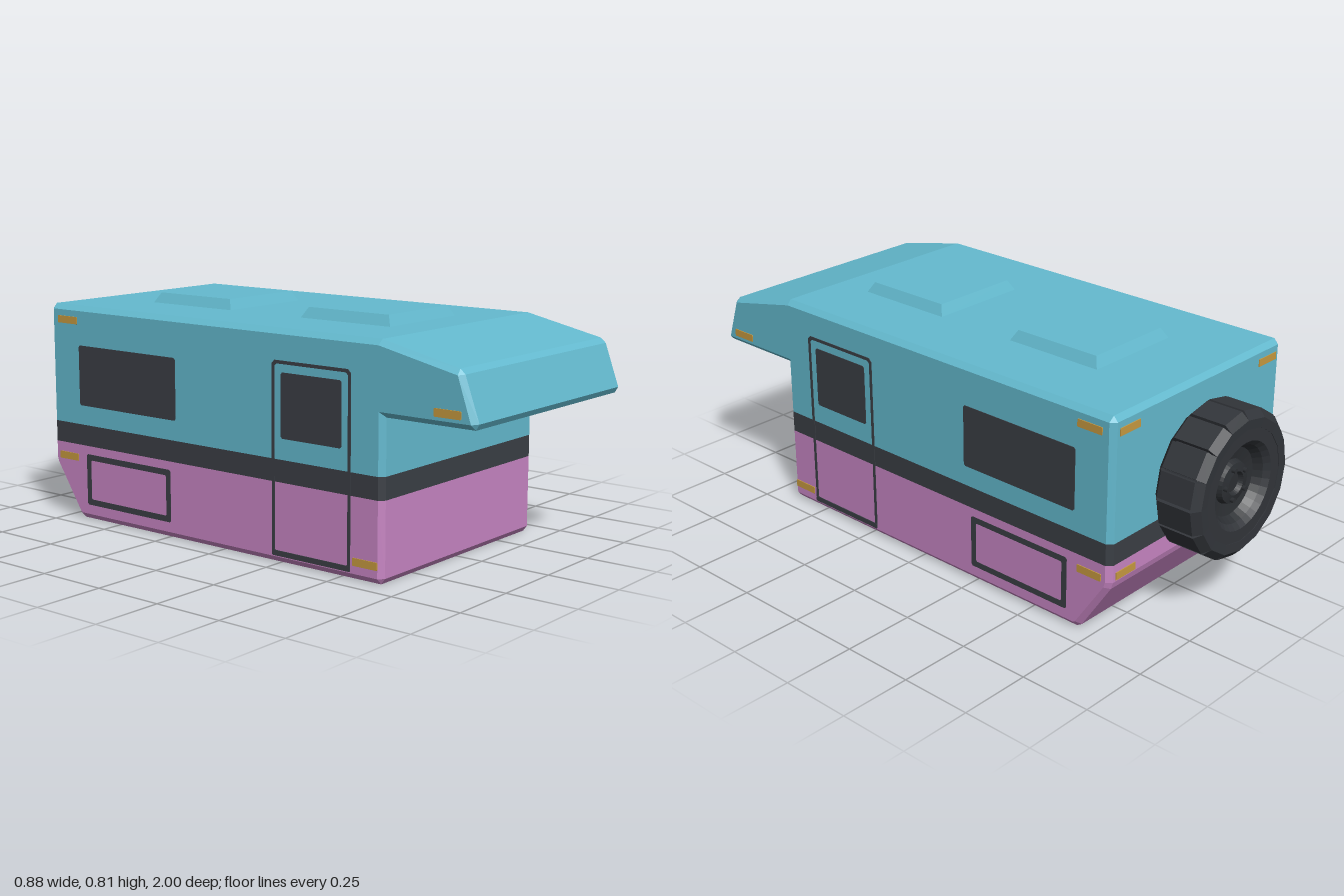
import * as THREE from 'three';

const mat = (name, color, side = THREE.FrontSide) => {
  const m = new THREE.MeshStandardMaterial({ color, side });
  m.name = name;
  return m;
};

// Two matching profiles (z, y): the outer one runs across the width, the inset one closes each side.
// Edges lying on a seam between colour bands are left open.
function bandGeometry(outer, inset, seams) {
  const pos = [];
  const tri = (a, b, c) => {
    const n = b.clone().sub(a).cross(c.clone().sub(a));
    if (n.length() > 1e-9) for (const p of [a, b, c]) pos.push(p.x, p.y, p.z);
  };
  const ring = (pts, x) => pts.map(([z, y]) => new THREE.Vector3(x, y, z));
  const rings = [ring(inset, 0.435), ring(outer, 0.417), ring(outer, -0.417), ring(inset, -0.435)];
  const n = outer.length;
  for (let i = 0; i < n; i++) {
    const j = (i + 1) % n;
    if (outer[i][1] === outer[j][1] && seams.includes(outer[i][1])) continue;
    for (let k = 0; k < 3; k++) {
      const a = rings[k][j], b = rings[k][i], c = rings[k + 1][i], d = rings[k + 1][j];
      tri(a, b, c);
      tri(a, c, d);
    }
  }
  // Flat side walls, wound to face outwards
  const contour = inset.map(([z, y]) => new THREE.Vector2(z, y));
  for (const [a, b, c] of THREE.ShapeUtils.triangulateShape(contour, [])) {
    const A = contour[a], B = contour[b], C = contour[c];
    const ccw = (B.x - A.x) * (C.y - A.y) - (B.y - A.y) * (C.x - A.x) > 0;
    const [p, q, r] = ccw ? [a, c, b] : [a, b, c];
    tri(rings[0][p], rings[0][q], rings[0][r]);
    tri(rings[3][p], rings[3][r], rings[3][q]);
  }
  const g = new THREE.BufferGeometry();
  g.setAttribute('position', new THREE.Float32BufferAttribute(pos, 3));
  g.computeVertexNormals();
  return g;
}

// Rectangle path with small cut corners
function rectPath(path, x0, y0, x1, y1, c) {
  path.moveTo(x0 + c, y0);
  for (const [x, y] of [[x1 - c, y0], [x1, y0 + c], [x1, y1 - c], [x1 - c, y1],
    [x0 + c, y1], [x0, y1 - c], [x0, y0 + c]]) path.lineTo(x, y);
  path.closePath();
  return path;
}

export function createModel() {
  const teal = mat('teal paint', 0x64bacf);
  const pink = mat('pink paint', 0xc886c4);
  const dark = mat('dark trim', 0x3b3f45);
  const amber = mat('amber light', 0xc79a40);
  const rubber = mat('tyre rubber', 0x32353a);
  const steel = mat('wheel steel', 0x2c2f33);
  const model = new THREE.Group();
  const add = (name, geometry, material, parent = model) => {
    const m = new THREE.Mesh(geometry, material);
    m.name = name;
    parent.add(m);
    return m;
  };

  // Shell in three colour bands
  const lo = 0.27, hi = 0.345;
  add('lowerBody', bandGeometry(
    [[0.665, lo], [0.665, 0.02], [0.65, 0], [-0.68, 0], [-0.7, 0.012], [-0.812, 0.185], [-0.82, 0.21], [-0.82, lo]],
    [[0.648, lo], [0.648, 0.02], [0.648, 0.02], [-0.678, 0.02], [-0.685, 0.024], [-0.796, 0.192], [-0.802, 0.21], [-0.802, lo]],
    [lo]), pink);
  add('waistStripe', bandGeometry(
    [[0.665, hi], [0.665, lo], [-0.82, lo], [-0.82, hi]],
    [[0.648, hi], [0.648, lo], [-0.802, lo], [-0.802, hi]],
    [lo, hi]), dark);
  add('upperBody', bandGeometry(
    [[-0.82, hi], [-0.82, 0.752], [-0.804, 0.77], [0.647, 0.77], [0.93, 0.708], [0.948, 0.692],
      [1.0, 0.55], [0.988, 0.53], [0.665, 0.53], [0.665, hi]],
    [[-0.802, hi], [-0.802, 0.752], [-0.802, 0.752], [0.645, 0.752], [0.933, 0.69], [0.933, 0.69],
      [0.982, 0.548], [0.982, 0.548], [0.648, 0.548], [0.648, hi]],
    [hi]), teal);

  // Two tapered roof vents
  for (const z of [0.32, -0.362]) {
    const g = new THREE.BoxGeometry(0.37, 0.037, 0.37).toNonIndexed();
    const p = g.attributes.position;
    for (let i = 0; i < p.count; i++) {
      if (p.getY(i) > 0) p.setXYZ(i, p.getX(i) * 0.89, p.getY(i), p.getZ(i) * 0.89);
    }
    g.computeVertexNormals();
    g.translate(0, 0.787, z);
    add('roofVent', g, teal);
  }

  // Thin plates on both side walls; z0 < z1
  const plate = (name, side, [z0, y0, z1, y1], material, proud, border = 0, cut = 0.006) => {
    const s = rectPath(new THREE.Shape(), z0, y0, z1, y1, cut);
    if (border) s.holes.push(rectPath(new THREE.Path(), z0 + border, y0 + border, z1 - border, y1 - border, cut * 0.7));
    const g = new THREE.ExtrudeGeometry(s, { depth: 0.004 + proud, bevelEnabled: false });
    // shape x -> z, extrusion -> -x
    g.rotateY(-Math.PI / 2);
    g.translate(side > 0 ? 0.435 + proud : -0.431, 0, 0);
    add(name, g, material);
  };
  for (const side of [1, -1]) {
    plate('doorFrame', side, [0.222, 0.026, 0.542, 0.668], dark, 0.002, 0.011, 0.012);
    plate('doorSill', side, [0.222, 0.024, 0.542, 0.042], dark, 0.003, 0, 0.003);
    plate('doorWindow', side, [0.26, 0.415, 0.505, 0.63], dark, 0.002);
    plate('rearWindow', side, [-0.675, 0.415, -0.206, 0.63], dark, 0.002);
    plate('hatchFrame', side, [-0.648, 0.055, -0.235, 0.24], dark, 0.001, 0.021);
    for (const [z, y] of [[0.9, 0.572], [0.6, 0.06], [-0.73, 0.717], [-0.738, 0.222]]) {
      plate('sideMarker', side, [z - 0.048, y - 0.013, z + 0.048, y + 0.013], amber, 0.003, 0, 0.002);
    }
    for (const y of [0.717, 0.228]) {
      const g = new THREE.BoxGeometry(0.095, 0.026, 0.008);
      g.translate(side * 0.358, y, -0.819);
      add('rearMarker', g, amber);
    }
  }

  // Spare wheel, built along +y then turned to face the rear
  const wheel = new THREE.Group();
  wheel.name = 'spareWheel';
  wheel.position.set(0, 0.447, -0.82);
  wheel.rotation.x = -Math.PI / 2;
  model.add(wheel);
  const lathe = (pts, n) => {
    const g = new THREE.LatheGeometry(pts.map(([r, y]) => new THREE.Vector2(r, y)), n).toNonIndexed();
    g.computeVertexNormals();
    return g;
  };
  const sides = 16;
  add('tyre', lathe([[0, 0], [0.2, 0.004], [0.236, 0.032], [0.236, 0.152], [0.208, 0.176],
    [0.15, 0.176], [0.132, 0.158]], sides * 2), rubber, wheel);
  add('rim', lathe([[0.134, 0.16], [0.115, 0.13], [0.075, 0.122], [0.068, 0.142], [0.04, 0.148],
    [0.034, 0.132], [0, 0.132]], sides * 2), steel, wheel);
  const block = new THREE.Shape([[0.19, 0.006], [0.222, 0.006], [0.247, 0.028], [0.247, 0.156],
    [0.222, 0.18], [0.19, 0.178]].map(([r, y]) => new THREE.Vector2(r, y)));
  const blockGeo = new THREE.ExtrudeGeometry(block, { depth: 0.088, bevelEnabled: false });
  blockGeo.translate(0, 0, -0.044);
  for (let i = 0; i < sides; i++) {
    add('treadBlock', blockGeo, rubber, wheel).rotation.y = ((i + 0.5) / sides) * Math.PI * 2;
  }
  const nutGeo = new THREE.CylinderGeometry(0.009, 0.009, 0.014, 6);
  for (let i = 0; i < 5; i++) {
    const a = (i / 5) * Math.PI * 2;
    add('wheelNut', nutGeo, steel, wheel).position.set(Math.cos(a) * 0.054, 0.15, Math.sin(a) * 0.054);
  }
  return model;
}
